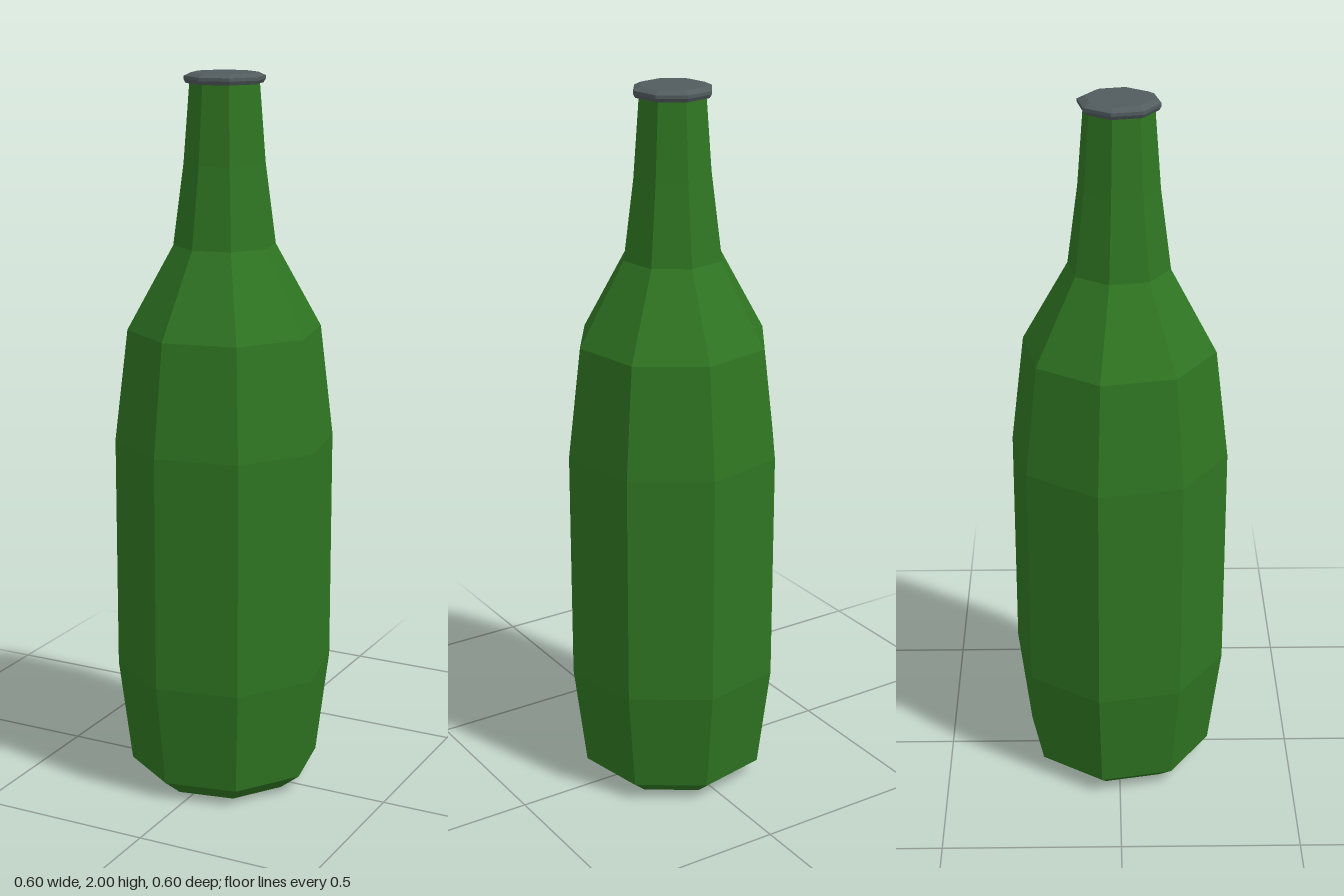
import * as THREE from 'three';

const SIDES = 8;
const TURN = THREE.MathUtils.degToRad(-11.3); // twist of the octagon about the axis

// Faceted solid of revolution from [radius, height] pairs, listed bottom to top
function turned(name, profile, color) {
  const points = profile.map(([r, y]) => new THREE.Vector2(r, y));
  const geometry = new THREE.LatheGeometry(points, SIDES, TURN);
  const material = new THREE.MeshStandardMaterial({ color, flatShading: true });
  const mesh = new THREE.Mesh(geometry, material);
  mesh.name = name;
  return mesh;
}

export function createModel() {
  const bottle = new THREE.Group();
  bottle.name = 'bottle';

  // Glass body: dished base, chamfer, barrel, shoulder, neck
  bottle.add(turned('glassBody', [
    [0, 0.03],
    [0.15, 0.015],
    [0.205, 0],
    [0.267, 0.05],
    [0.304, 0.345],
    [0.304, 1.0],
    [0.267, 1.31],
    [0.14, 1.54],
    [0.111, 1.76],
    [0.094, 1.98],
  ], 0x2f7522));

  // Cap: thin lip overhanging the neck, bevelled on top
  bottle.add(turned('cap', [
    [0.09, 1.972],
    [0.104, 1.972],
    [0.11, 1.982],
    [0.11, 1.991],
    [0.09, 2.0],
    [0, 2.0],
  ], 0x525c5e));

  return bottle;
}
